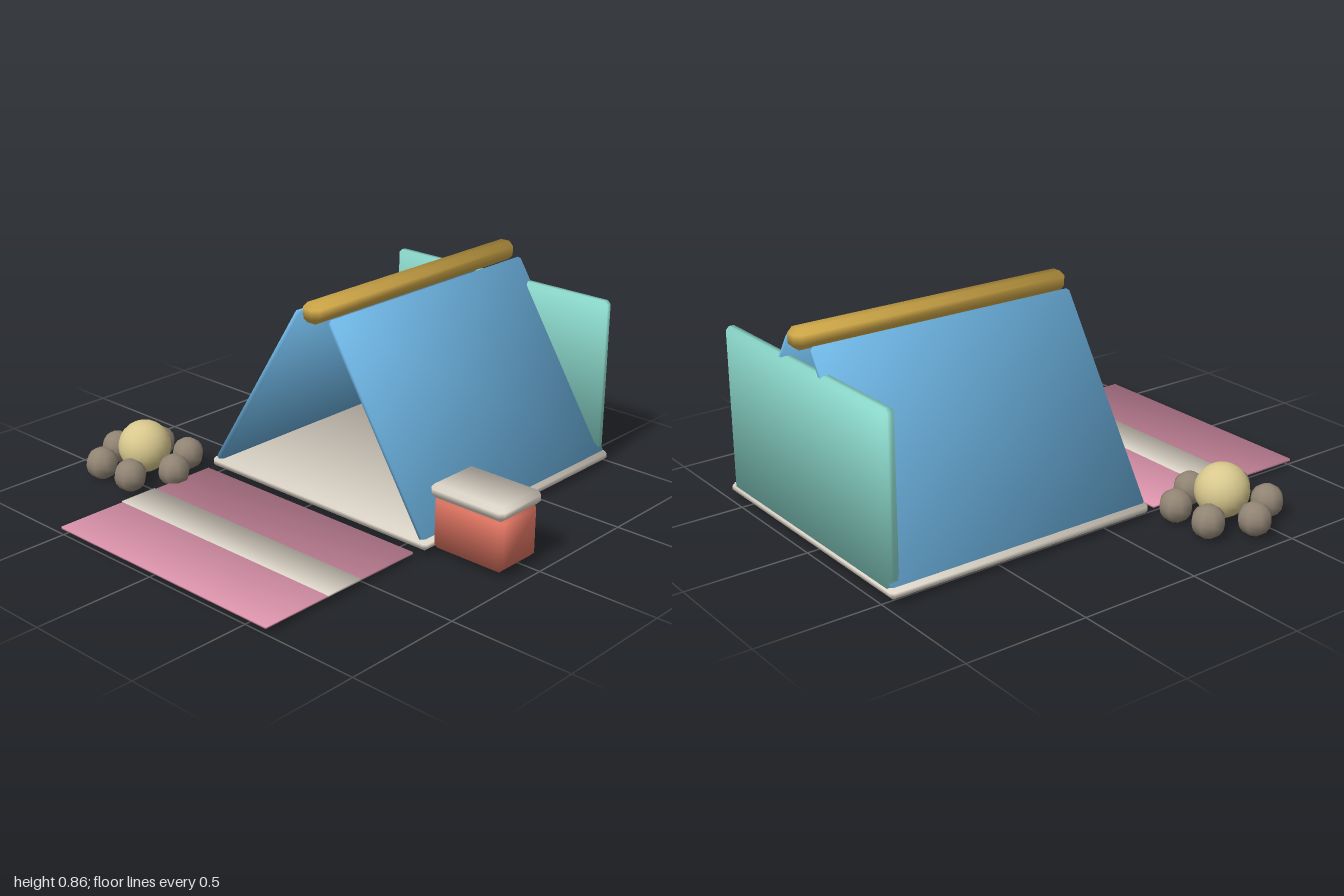
import * as THREE from 'three';
import { ConvexGeometry } from 'three/addons/geometries/ConvexGeometry.js';

const paint = (name, color) => {
  const m = new THREE.MeshStandardMaterial({ color });
  m.name = name;
  return m;
};

// Chamfered box whose normals fan out to the corners, for a soft pillowy look
function softBox(w, h, d, bevel) {
  const pts = [];
  for (const x of [-1, 1]) for (const y of [-1, 1]) for (const z of [-1, 1]) {
    for (let axis = 0; axis < 3; axis++) {
      const inset = [bevel, bevel, bevel];
      inset[axis] = 0;
      pts.push(new THREE.Vector3(
        x * (w / 2 - inset[0]), y * (h / 2 - inset[1]), z * (d / 2 - inset[2])));
    }
  }
  const geo = new ConvexGeometry(pts);
  const p = geo.attributes.position, n = geo.attributes.normal, k = 1 / Math.sqrt(3);
  for (let i = 0; i < p.count; i++) {
    n.setXYZ(i, Math.sign(p.getX(i)) * k, Math.sign(p.getY(i)) * k, Math.sign(p.getZ(i)) * k);
  }
  return geo;
}

export function createModel() {
  const group = new THREE.Group();
  group.name = 'campsite';

  const blue = paint('canvasBlue', 0x6cb2e0);
  const teal = paint('backTeal', 0x8edccf);
  const cream = paint('cream', 0xe2dacd);
  const pink = paint('matPink', 0xe298b0);
  const gold = paint('poleGold', 0xd0a848);
  const red = paint('coolerRed', 0xe07562);
  const sand = paint('emberSand', 0xd8c88e);
  const stone = paint('stoneBrown', 0x918474);

  const add = (name, geo, mat, x, y, z, parent = group) => {
    const m = new THREE.Mesh(geo, mat);
    m.name = name;
    m.position.set(x, y, z);
    parent.add(m);
    return m;
  };

  // Tent: floor, two leaning canvas panels, back wall and ridge pole
  const tent = new THREE.Group();
  tent.name = 'tent';
  tent.position.set(0.043, 0, -0.39);
  group.add(tent);
  add('tentFloor', softBox(1.16, 0.04, 1.18, 0.012), cream, 0, 0.044, 0, tent);
  const panel = softBox(0.036, 0.89, 1.16, 0.011);
  for (const side of [-1, 1]) {
    const name = side > 0 ? 'leftCanvas' : 'rightCanvas';
    add(name, panel, blue, side * 0.317, 0.43, 0, tent).rotation.z = side * 0.565;
  }
  add('backWall', softBox(1.115, 0.7, 0.05, 0.014), teal, 0, 0.37, -0.56, tent);
  add('ridgePole', softBox(0.084, 0.08, 1.22, 0.021), gold, 0, 0.822, 0, tent);

  // Ground mat with a raised stripe
  add('mat', softBox(1.115, 0.012, 0.76, 0.003), pink, 0.043, 0.029, 0.62);
  add('matStripe', softBox(1.122, 0.012, 0.17, 0.003), cream, 0.044, 0.033, 0.615);

  // Cooler
  const cooler = new THREE.Group();
  cooler.name = 'cooler';
  cooler.position.set(0.78, 0, 0.05);
  group.add(cooler);
  add('coolerBody', softBox(0.32, 0.215, 0.22, 0.017), red, 0, 0.135, 0, cooler);
  add('coolerLid', softBox(0.34, 0.056, 0.245, 0.017), cream, 0, 0.264, 0, cooler);

  // Fire pit: ember ball ringed by six stones
  const pit = new THREE.Group();
  pit.name = 'firePit';
  pit.position.set(-0.712, 0, 0.41);
  group.add(pit);
  add('emberBall', new THREE.SphereGeometry(0.108, 20, 14), sand, 0, 0.127, 0, pit);
  const stoneGeo = new THREE.SphereGeometry(0.067, 8, 8);
  for (let i = 0; i < 6; i++) {
    const a = i * Math.PI / 3;
    add('stone', stoneGeo, stone, 0.178 * Math.cos(a), 0.072, 0.178 * Math.sin(a), pit)
      .rotation.y = Math.PI / 8;
  }

  return group;
}
